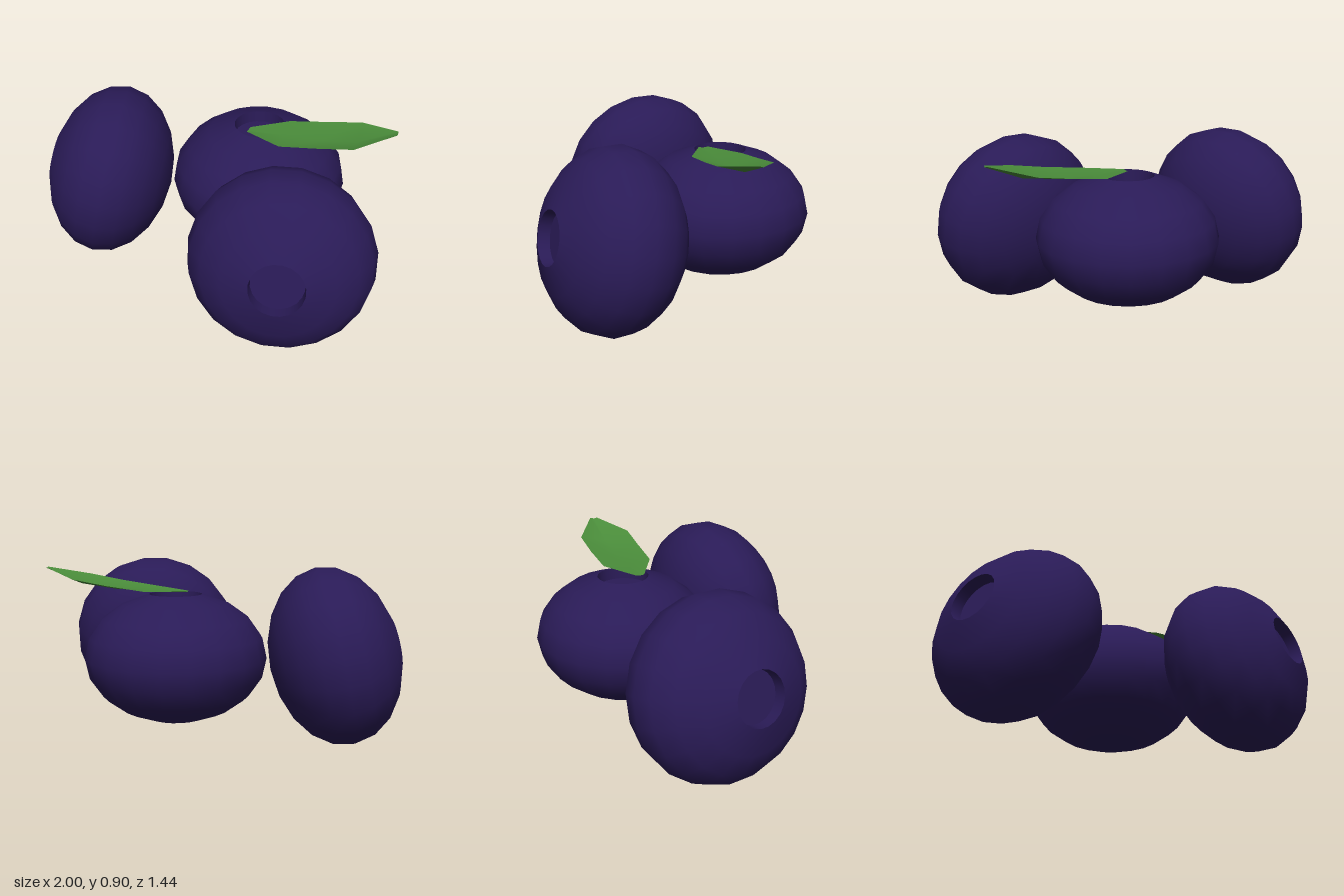
import * as THREE from 'three';
import { mergeGeometries } from 'three/addons/utils/BufferGeometryUtils.js';

const SIDES = 20, RADIUS = 0.465, HALF_HEIGHT = 0.335;
const RIM = 0.134, RIM_Y = 0.321, DEPTH = 0.06;

// Squashed sphere along y with a round, sharp-edged dimple in its top
function berryGeometry(phiStart) {
  const skin = [];
  for (let i = 0; i < 9; i++) {
    const a = (i / 10) * Math.PI;
    skin.push(new THREE.Vector2(Math.sin(a) * RADIUS, -Math.cos(a) * HALF_HEIGHT));
  }
  skin.push(new THREE.Vector2(RIM, RIM_Y));
  const wall = [new THREE.Vector2(RIM, RIM_Y), new THREE.Vector2(RIM - 0.005, RIM_Y - DEPTH)];
  const floor = [wall[1], new THREE.Vector2(0, RIM_Y - DEPTH)];
  return mergeGeometries([skin, wall, floor].map(p => new THREE.LatheGeometry(p, SIDES, phiStart)));
}

// Leaf blade: cross-sections of left edge, midrib, right edge
function leafGeometry() {
  const rows = [
    [[-0.01, 0.787, -0.19], [0, 0.783, -0.165], [0.01, 0.787, -0.145]],
    [[0.096, 0.793, -0.38], [0.165, 0.784, -0.265], [0.235, 0.798, -0.152]],
    [[0.26, 0.818, -0.485], [0.335, 0.79, -0.36], [0.41, 0.825, -0.25]],
    [[0.42, 0.848, -0.578], [0.495, 0.815, -0.455], [0.567, 0.855, -0.338]],
    [[0.65, 0.9, -0.575], [0.662, 0.893, -0.557], [0.668, 0.898, -0.54]],
  ];
  const index = [];
  for (let r = 0; r < rows.length - 1; r++) {
    for (let c = 0; c < 2; c++) {
      const a = r * 3 + c, b = a + 3;
      index.push(a, a + 1, b, a + 1, b + 1, b);
    }
  }
  const g = new THREE.BufferGeometry();
  g.setAttribute('position', new THREE.Float32BufferAttribute(rows.flat(2), 3));
  g.setIndex(index);
  g.computeVertexNormals();
  return g;
}

export function createModel() {
  const model = new THREE.Group();
  const skinMat = new THREE.MeshStandardMaterial({ color: 0x2a1b57 });
  const leafMat = new THREE.MeshStandardMaterial({ color: 0x4a8c3a, side: THREE.DoubleSide });

  // Berries: centre and direction the dimple faces
  const berries = [
    { name: 'backBerry', at: [-0.005, 0.46, -0.255], axis: [0, 1, 0], phi: 0 },
    { name: 'rightBerry', at: [-0.595, 0.459, 0.305], axis: [-0.23, 0.07, 0.21], phi: Math.PI / SIDES },
    { name: 'leftBerry', at: [0.585, 0.459, 0.167], axis: [0.205, 0.07, 0.243], phi: Math.PI / SIDES },
  ];
  for (const { name, at, axis, phi } of berries) {
    const berry = new THREE.Mesh(berryGeometry(phi), skinMat);
    berry.name = name;
    berry.position.set(...at);
    const y = new THREE.Vector3(...axis).normalize();
    if (y.y < 0.99) {
      const x = new THREE.Vector3(0, 1, 0).cross(y).normalize();
      const z = new THREE.Vector3().crossVectors(x, y);
      berry.quaternion.setFromRotationMatrix(new THREE.Matrix4().makeBasis(x, y, z));
    }
    model.add(berry);
  }

  const leaf = new THREE.Mesh(leafGeometry(), leafMat);
  leaf.name = 'leaf';
  model.add(leaf);
  return model;
}
